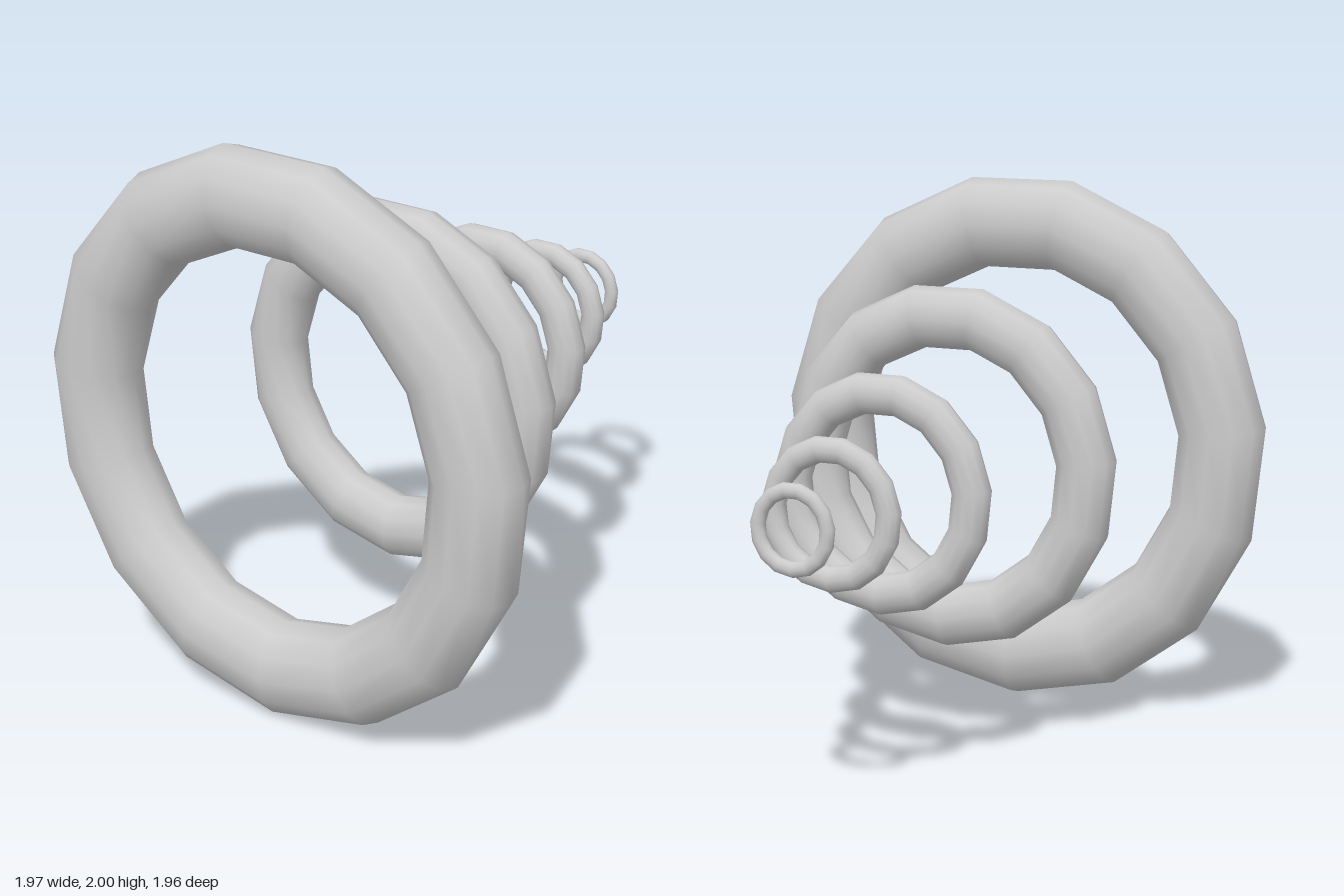
import * as THREE from 'three';

export function createModel() {
  const group = new THREE.Group();
  const material = new THREE.MeshStandardMaterial({ color: 0xcccccc });

  // Unit ring: 15 segments with one corner at the bottom, axis along x,
  // slightly taller than wide, with a section narrower along the axis
  const ring = new THREE.TorusGeometry(0.83, 0.17, 12, 15);
  ring.rotateZ(-Math.PI / 2);
  ring.scale(0.977, 1, 0.83);
  ring.rotateY(Math.PI / 2);

  // Row of shrinking rings: [name, x, outer radius]
  const rings = [
    ['largestRing', -0.843, 1.011],
    ['largeRing', -0.204, 0.667],
    ['middleRing', 0.335, 0.426],
    ['smallRing', 0.7, 0.266],
    ['smallestRing', 0.96, 0.158],
  ];
  for (const [name, x, radius] of rings) {
    const mesh = new THREE.Mesh(ring, material);
    mesh.name = name;
    mesh.position.set(x, 1.011, 0);
    mesh.scale.setScalar(radius);
    group.add(mesh);
  }
  return group;
}
